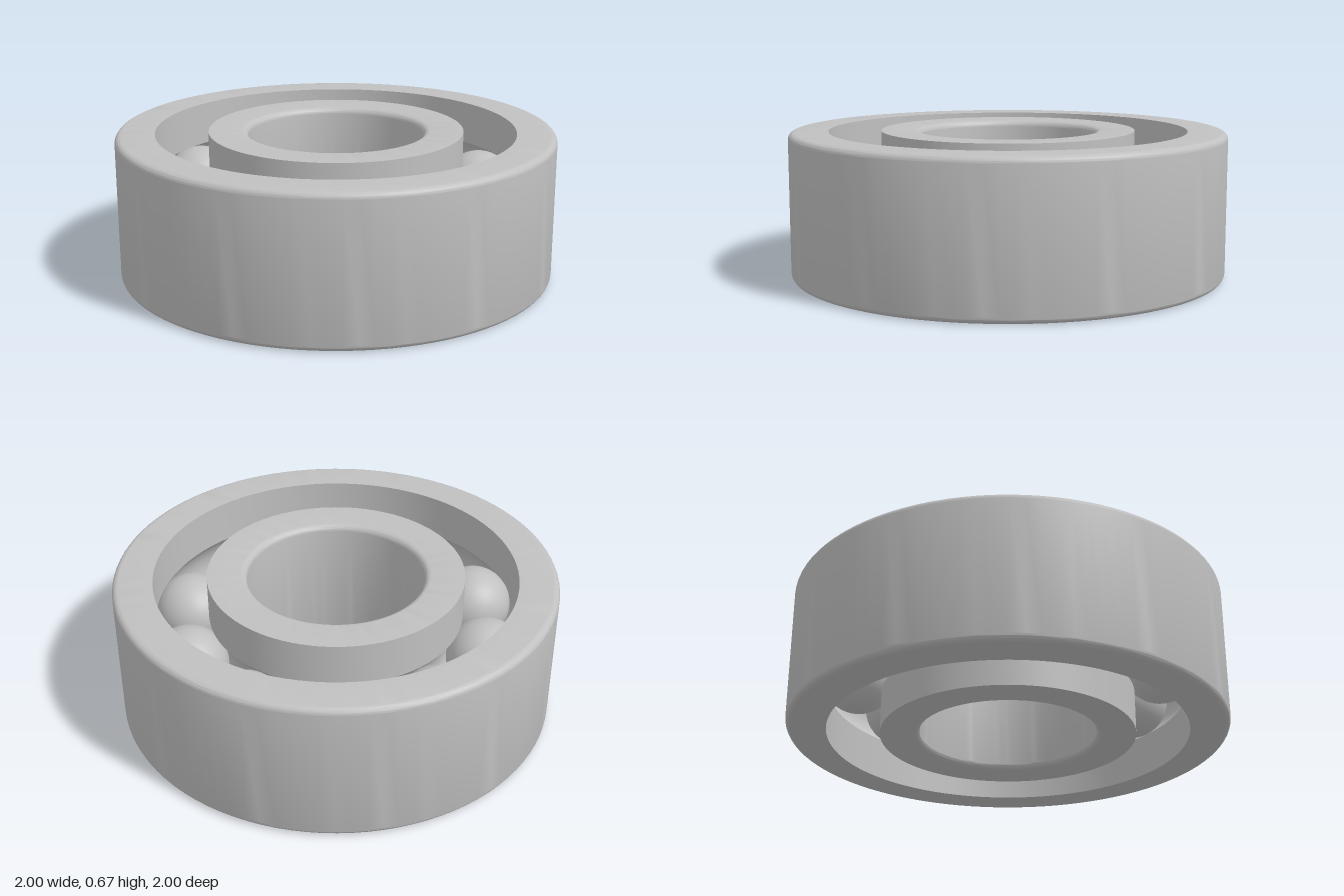
import * as THREE from 'three';
import { toCreasedNormals } from 'three/addons/utils/BufferGeometryUtils.js';

const H = 0.667;        // ring height
const PITCH = 0.7;      // radius of the ball circle
const BALL_R = 0.177;
const GROOVE_R = 0.18;
const FILLET = 0.03;
const BALLS = 10;

const steel = new THREE.MeshStandardMaterial({ color: 0xc0c0c0 });
steel.name = 'steel';

// Revolve a closed profile, keeping its corners sharp
function ring(name, path) {
  const lathe = new THREE.LatheGeometry(path.getPoints(8), 96);
  const mesh = new THREE.Mesh(toCreasedNormals(lathe, Math.PI / 6), steel);
  mesh.name = name;
  return mesh;
}

export function createModel() {
  const group = new THREE.Group();
  group.name = 'ballBearing';
  const half = Math.PI / 2;
  const grooveAngle = Math.acos(0.12 / GROOVE_R);

  // Outer ring: filleted outer edges, ball groove on the inside
  const outer = new THREE.Path();
  outer.moveTo(PITCH + 0.12, 0);
  outer.lineTo(1 - FILLET, 0);
  outer.absarc(1 - FILLET, FILLET, FILLET, -half, 0, false);
  outer.absarc(1 - FILLET, H - FILLET, FILLET, 0, half, false);
  outer.lineTo(PITCH + 0.12, H);
  outer.absarc(PITCH, H / 2, GROOVE_R, grooveAngle, -grooveAngle, true);
  outer.lineTo(PITCH + 0.12, 0);
  group.add(ring('outerRing', outer));

  // Inner ring: ball groove on the outside, filleted bore edges
  const bore = 0.4 + FILLET;
  const inner = new THREE.Path();
  inner.moveTo(bore, 0);
  inner.lineTo(PITCH - 0.12, 0);
  inner.absarc(PITCH, H / 2, GROOVE_R, Math.PI + grooveAngle, Math.PI - grooveAngle, true);
  inner.lineTo(PITCH - 0.12, H);
  inner.lineTo(bore, H);
  inner.absarc(bore, H - FILLET, FILLET, half, Math.PI, false);
  inner.absarc(bore, FILLET, FILLET, Math.PI, 3 * half, false);
  group.add(ring('innerRing', inner));

  // Balls evenly spaced between the rings
  const ballGeometry = new THREE.SphereGeometry(BALL_R, 40, 28);
  for (let i = 0; i < BALLS; i++) {
    const a = Math.PI / 20 + (i * 2 * Math.PI) / BALLS;
    const ball = new THREE.Mesh(ballGeometry, steel);
    ball.name = `ball${i + 1}`;
    ball.position.set(PITCH * Math.cos(a), H / 2, -PITCH * Math.sin(a));
    group.add(ball);
  }
  return group;
}
